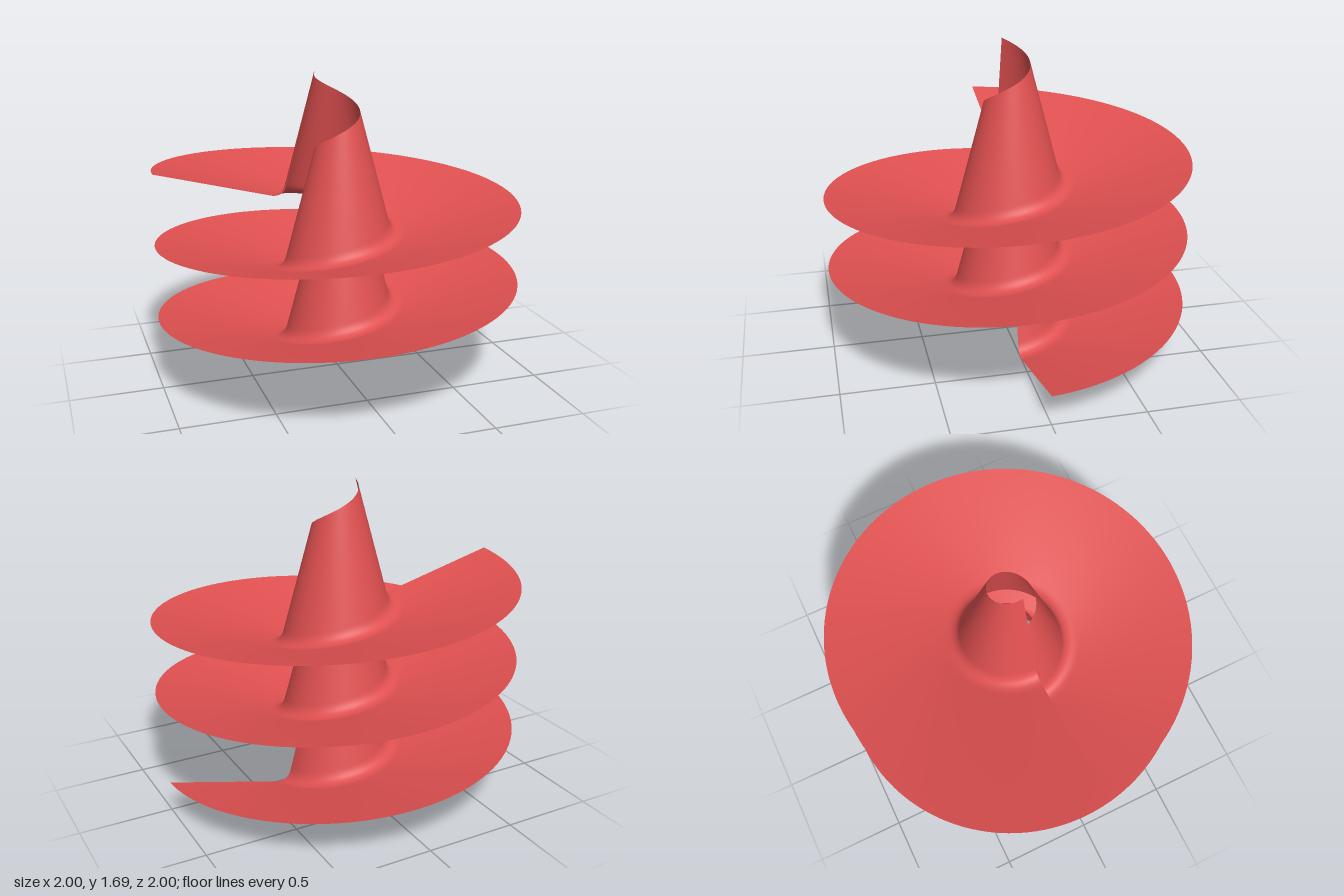
import * as THREE from 'three';

const TURNS = 2.5, PITCH = 0.412, STEPS = 300;

// Radial cross-section (radius, height): steep core wall, small fillet, gently rising blade
function bladeProfile() {
  const path = new THREE.Path();
  path.moveTo(0.125, 0.66);
  path.lineTo(0.285, 0.06);
  path.quadraticCurveTo(0.305, -0.017, 0.38, 0.003);
  path.lineTo(1, 0.162);
  const [wall, fillet, blade] = path.curves;
  return [
    ...wall.getPoints(12).slice(0, -1),
    ...fillet.getPoints(12).slice(0, -1),
    ...blade.getPoints(14),
  ];
}

// Sweep the cross-section around y while it climbs
function helicalSweep(profile) {
  const positions = [], indices = [], n = profile.length;
  for (let i = 0; i <= STEPS; i++) {
    const turn = (i / STEPS) * TURNS, a = turn * Math.PI * 2;
    for (const p of profile) {
      positions.push(p.x * Math.cos(a), Math.max(0, p.y + turn * PITCH), -p.x * Math.sin(a));
    }
  }
  for (let i = 0; i < STEPS; i++) {
    for (let j = 0; j < n - 1; j++) {
      const a = i * n + j, b = a + 1, c = a + n, d = c + 1;
      indices.push(a, b, c, b, d, c);
    }
  }
  const geometry = new THREE.BufferGeometry();
  geometry.setAttribute('position', new THREE.Float32BufferAttribute(positions, 3));
  geometry.setIndex(indices);
  geometry.computeVertexNormals();
  return geometry;
}

export function createModel() {
  const group = new THREE.Group();
  group.name = 'helicalScrew';
  const material = new THREE.MeshStandardMaterial({ color: 0xe05050, side: THREE.DoubleSide });
  const screw = new THREE.Mesh(helicalSweep(bladeProfile()), material);
  screw.name = 'spiralSurface';
  group.add(screw);
  return group;
}
